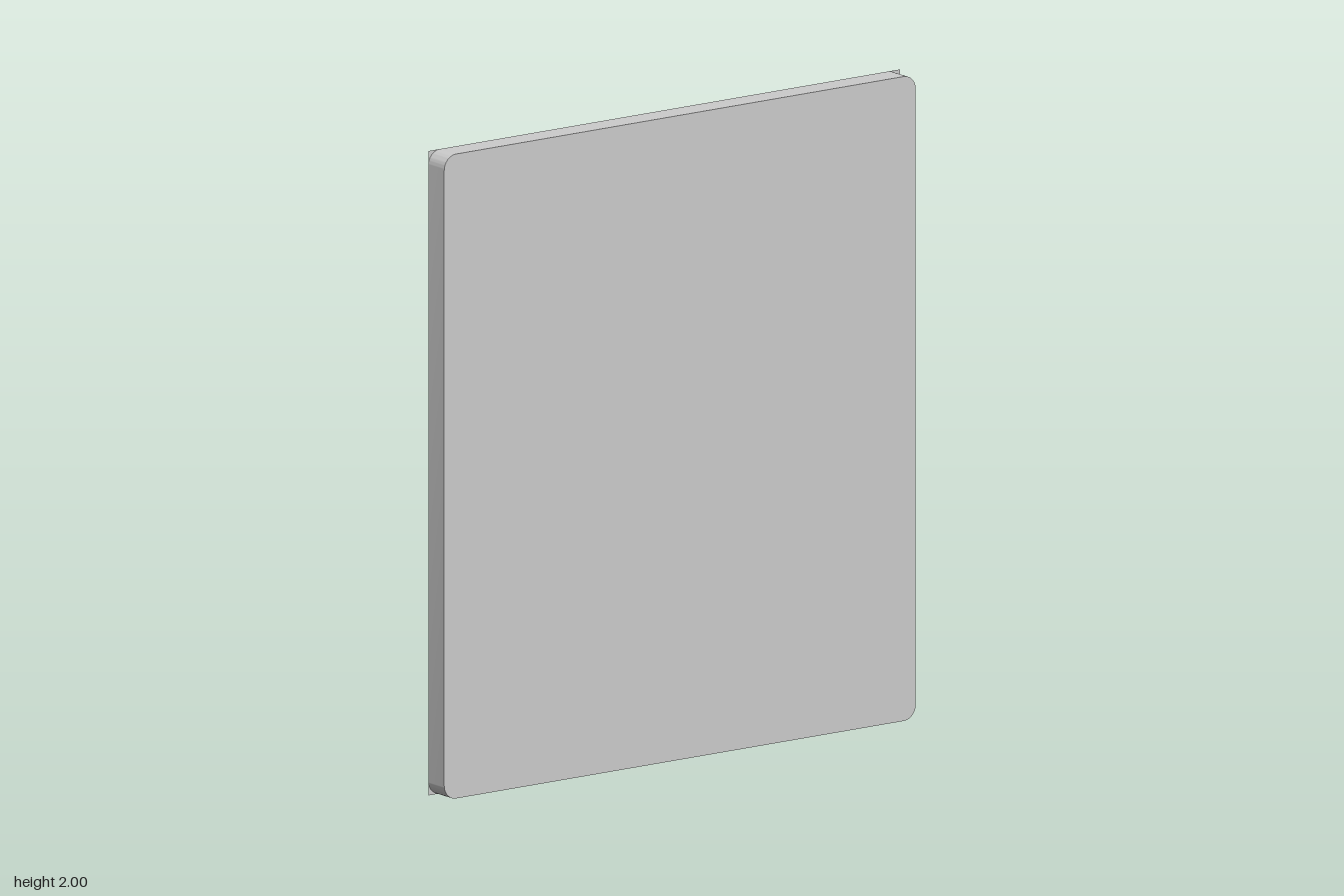
import * as THREE from 'three';
import { toCreasedNormals } from 'three/addons/utils/BufferGeometryUtils.js';

const HX = 0.886, HY = 1;              // outer half sizes
const IX = 0.712, IY = 0.8;            // opening half sizes
const FRONT = 0.057, SEAT = -0.024, BACK = -0.057;

const material = (color) => new THREE.MeshStandardMaterial({ color });

function roundedRect(hx, hy, r) {
  const s = new THREE.Shape();
  s.absarc(hx - r, hy - r, r, 0, Math.PI / 2);
  s.absarc(-hx + r, hy - r, r, Math.PI / 2, Math.PI);
  s.absarc(-hx + r, -hy + r, r, Math.PI, Math.PI * 1.5);
  s.absarc(hx - r, -hy + r, r, Math.PI * 1.5, Math.PI * 2);
  s.closePath();
  return s;
}

// Sweeps a closed triangular profile round a rectangle with mitred corners.
function mitredFrame() {
  const profile = [[HX, HY, SEAT], [IX, IY, BACK], [IX, IY, SEAT]];
  const corners = [[1, -1], [1, 1], [-1, 1], [-1, -1]];
  const point = (i, c) => {
    const [x, y, z] = profile[i % 3], [sx, sy] = corners[c % 4];
    return [x * sx, y * sy, z];
  };
  const positions = [];
  for (let i = 0; i < 3; i++) {
    for (let c = 0; c < 4; c++) {
      const p = point(i, c), q = point(i + 1, c), r = point(i + 1, c + 1), s = point(i, c + 1);
      positions.push(...p, ...q, ...r, ...p, ...r, ...s);
    }
  }
  const g = new THREE.BufferGeometry();
  g.setAttribute('position', new THREE.Float32BufferAttribute(positions, 3));
  g.computeVertexNormals();
  return g;
}

export function createModel() {
  const group = new THREE.Group();
  const add = (name, geometry, color) => {
    const mesh = new THREE.Mesh(geometry, material(color));
    mesh.name = name;
    mesh.position.y = HY;
    group.add(mesh);
    return mesh;
  };

  // Flat slab with rounded corners
  const slab = new THREE.ExtrudeGeometry(roundedRect(HX, HY, 0.045), {
    depth: FRONT - SEAT, bevelEnabled: false, curveSegments: 10,
  });
  slab.translate(0, 0, SEAT);
  add('slab', toCreasedNormals(slab, Math.PI / 6), 0xcccccc);

  // Sharp-cornered sloping frame on the back
  add('frame', mitredFrame(), 0xcccccc);

  // Coloured panel at the bottom of the opening
  const panel = add('panel', new THREE.PlaneGeometry(IX * 2, IY * 2), 0xc8441f);
  panel.rotation.y = Math.PI;
  panel.position.z = SEAT - 0.001;

  return group;
}
